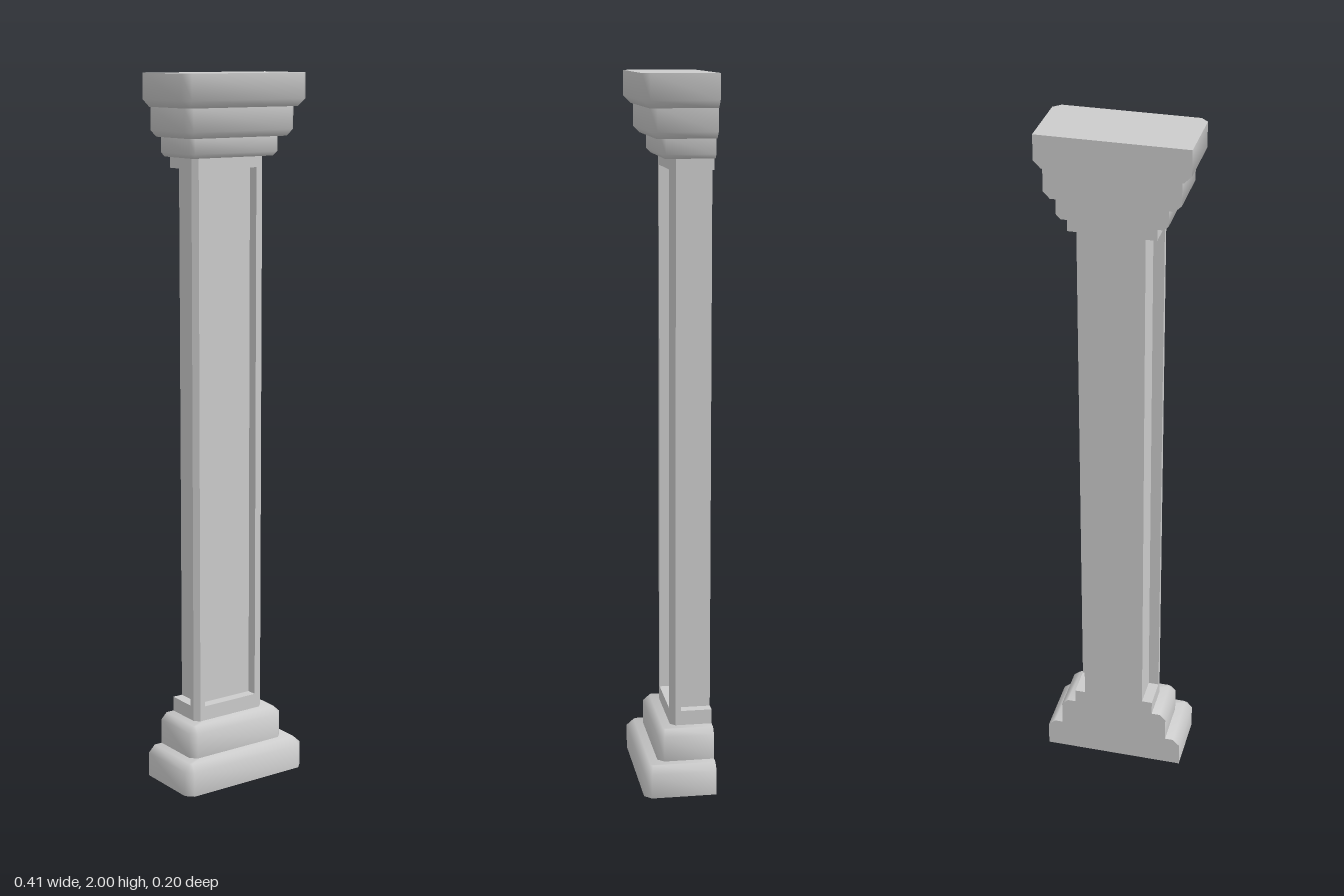
import * as THREE from 'three';
import { toCreasedNormals } from 'three/addons/utils/BufferGeometryUtils.js';

const BACK = -0.102; // flat wall side
const material = new THREE.MeshStandardMaterial({ color: 0xcccccc });

// Half-square plan against the wall, front corners cut by c
function plan(w, c) {
  const f = BACK + w;
  return [[w, BACK], [w, f - c], [w - c, f], [c - w, f], [-w, f - c], [-w, BACK]];
}

// Solid through a stack of { y, pts } sections
function loft(name, sections, crease) {
  const n = sections[0].pts.length;
  const last = (sections.length - 1) * n;
  const pos = sections.flatMap(({ y, pts }) => pts.flatMap(([x, z]) => [x, y, z]));
  const index = [];
  for (let s = 0; s < last; s += n) {
    for (let i = 0; i < n; i++) {
      const a = s + i, b = s + (i + 1) % n;
      index.push(a, a + n, b + n, a, b + n, b);
    }
  }
  for (let i = 1; i < n - 1; i++) {
    index.push(0, i, i + 1, last, last + i + 1, last + i);
  }
  const geo = new THREE.BufferGeometry();
  geo.setAttribute('position', new THREE.Float32BufferAttribute(pos, 3));
  geo.setIndex(index);
  const mesh = new THREE.Mesh(toCreasedNormals(geo, crease), material);
  mesh.name = name;
  return mesh;
}

// Moulding block with one bevelled rim, at the top or at the bottom
function tier(name, w, y0, y1, c, bevelTop) {
  const full = plan(w, c), inset = plan(w - c, c * 0.3);
  const sections = bevelTop
    ? [{ y: y0, pts: full }, { y: y1 - c, pts: full }, { y: y1, pts: inset }]
    : [{ y: y0, pts: inset }, { y: y0 + c, pts: full }, { y: y1, pts: full }];
  return loft(name, sections, 1.1);
}

function prism(name, pts, y0, y1) {
  return loft(name, [{ y: y0, pts }, { y: y1, pts }], 0.5);
}

export function createModel() {
  const group = new THREE.Group();
  group.name = 'pilaster';

  // Base
  group.add(tier('plinth', 0.204, 0, 0.09, 0.02, true));
  group.add(tier('baseStep', 0.16, 0.09, 0.18, 0.018, true));

  // Shaft: recessed panels framed by rails and corner posts
  const w = 0.118, core = 0.088, c = 0.014;
  const [y0, y1, y2, y3] = [0.18, 0.222, 1.745, 1.776];
  const shaft = new THREE.Group();
  shaft.name = 'shaft';
  shaft.add(prism('bottomRail', plan(w, c), y0, y1));
  shaft.add(prism('recessedPanels', plan(core, 0), y1, y2));
  shaft.add(prism('topRail', plan(w, c), y2, y3));
  const f = BACK + w, inner = BACK + core;
  const post = [[core, inner], [w, inner], [w, f - c], [w - c, f], [core, f]];
  shaft.add(prism('leftPost', post, y1, y2));
  shaft.add(prism('rightPost', post.map(([x, z]) => [-x, z]).reverse(), y1, y2));
  group.add(shaft);

  // Capital
  group.add(tier('necking', 0.147, 1.776, 1.83, 0.012, false));
  group.add(tier('capitalStep', 0.18, 1.83, 1.91, 0.018, false));
  group.add(tier('abacus', 0.204, 1.91, 2, 0.02, false));

  return group;
}
